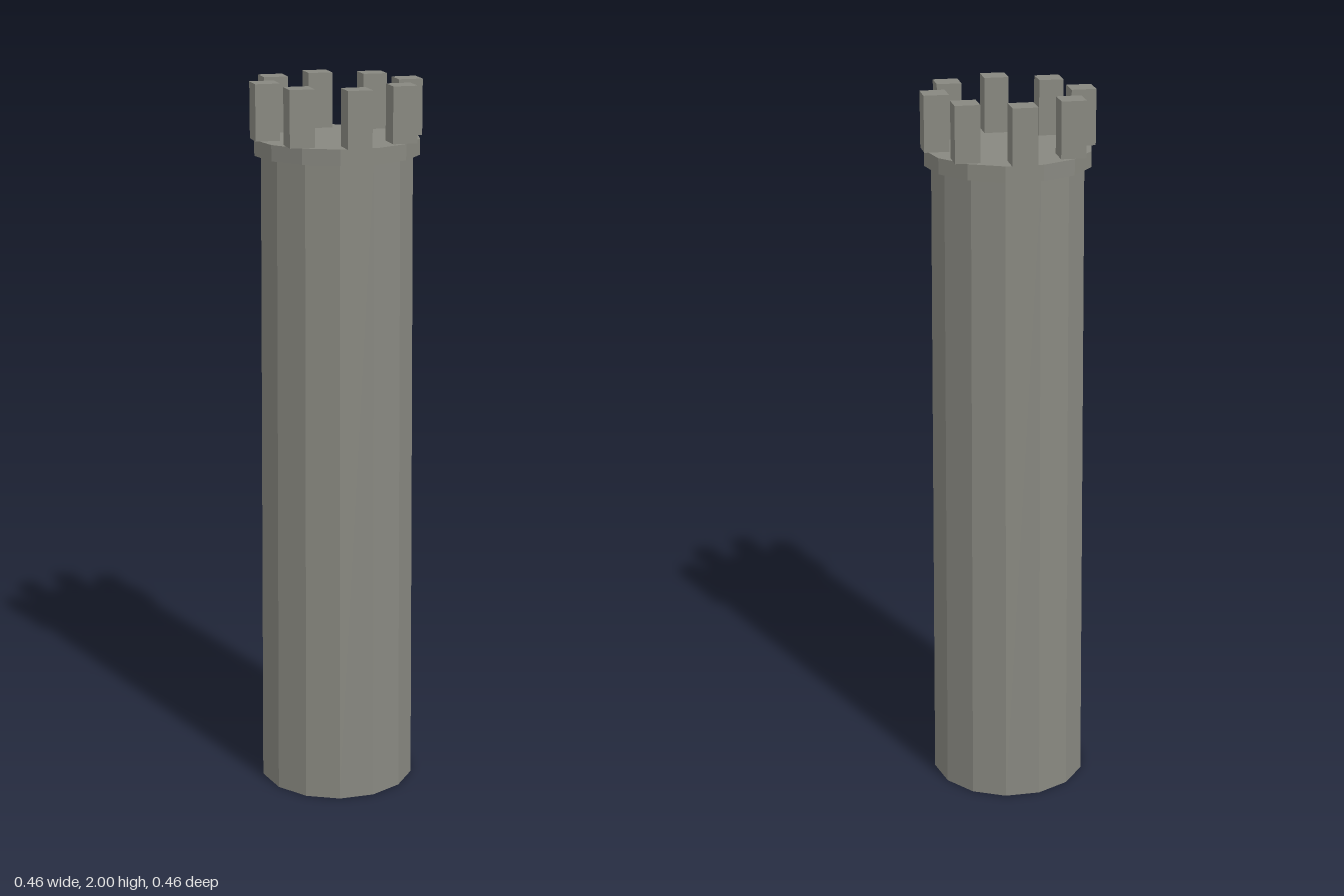
import * as THREE from 'three';

const SIDES = 14;

export function createModel() {
  const tower = new THREE.Group();
  tower.name = 'tower';
  const stone = new THREE.MeshStandardMaterial({ color: 0x888880, flatShading: true });

  const add = (name, geometry, x, y, z) => {
    const mesh = new THREE.Mesh(geometry, stone);
    mesh.name = name;
    mesh.position.set(x, y, z);
    tower.add(mesh);
  };

  // Faceted drum with a corner on the x axis, standing on y0
  const drum = (name, rTop, rBottom, y0, y1) =>
    add(name, new THREE.CylinderGeometry(rTop, rBottom, y1 - y0, SIDES, 1, false, Math.PI / 2),
      0, (y0 + y1) / 2, 0);

  // Slightly tapered shaft and the wider platform on top
  drum('shaft', 0.208, 0.22, 0, 1.806);
  drum('platform', 0.227, 0.227, 1.806, 1.849);

  // Ring of square battlements, all aligned with the axes
  const block = new THREE.BoxGeometry(0.067, 0.151, 0.067);
  for (let i = 0; i < 8; i++) {
    const a = (i * Math.PI) / 4;
    add(`battlement${i + 1}`, block, 0.1975 * Math.cos(a), 1.9245, 0.1975 * Math.sin(a));
  }
  return tower;
}
